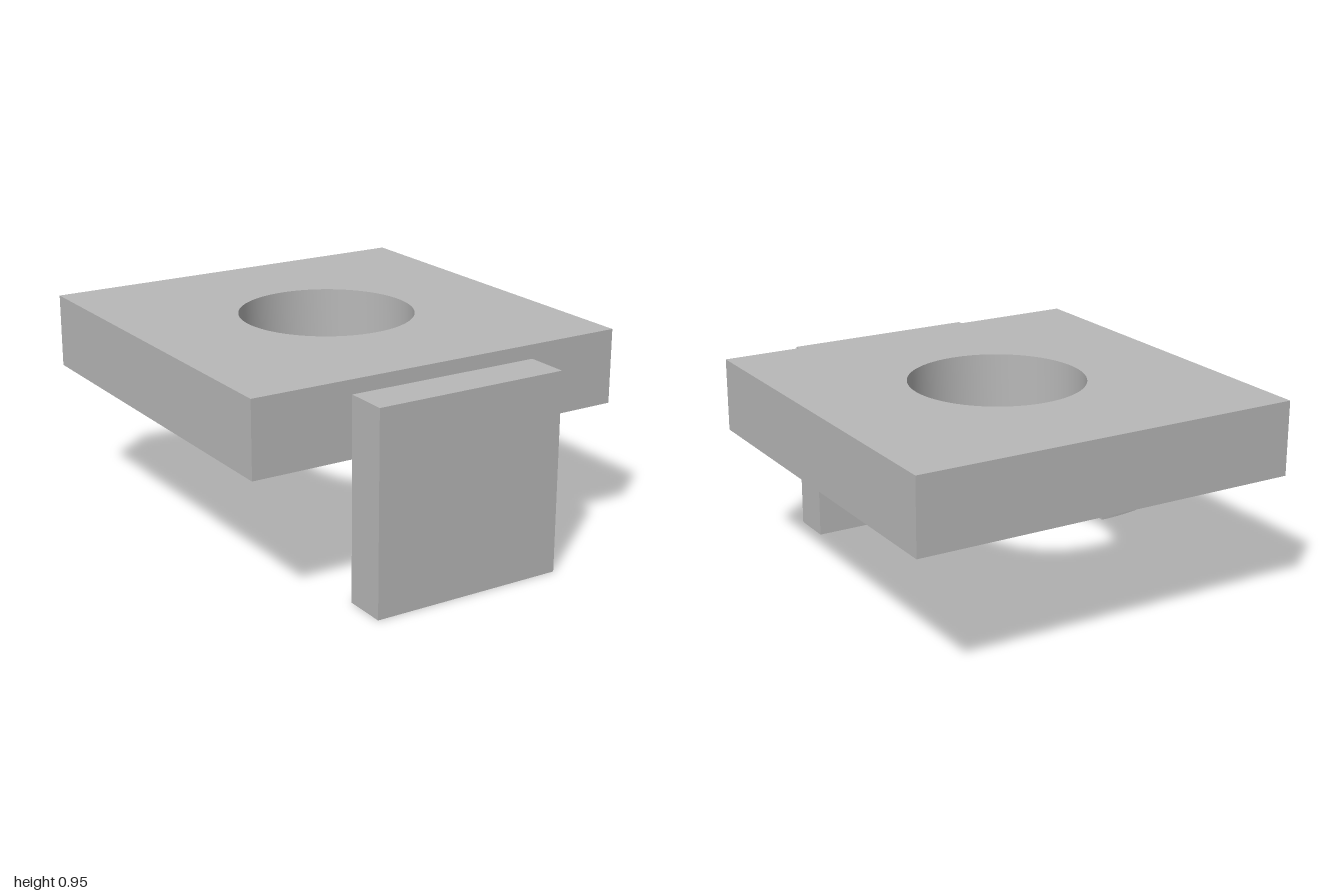
import * as THREE from 'three';
import { toCreasedNormals } from 'three/addons/utils/BufferGeometryUtils.js';

const CENTER_Z = -0.105; // shared centre of plate, hole and rib

// Extrudes a plan shape (x, z) downwards from the given top height
function slab(name, shape, top, thickness, material) {
  const geometry = new THREE.ExtrudeGeometry(shape, {
    depth: thickness, bevelEnabled: false, curveSegments: 48,
  });
  geometry.rotateX(Math.PI / 2);
  const mesh = new THREE.Mesh(toCreasedNormals(geometry, Math.PI / 6), material);
  mesh.name = name;
  mesh.position.set(0, top, CENTER_Z);
  return mesh;
}

export function createModel() {
  const group = new THREE.Group();
  group.name = 'bracket';
  const gray = new THREE.MeshStandardMaterial({ color: 0xb8b8b8 });
  gray.name = 'plain gray';

  // Square plate with a round through hole
  const h = 0.894;
  const square = new THREE.Shape([
    new THREE.Vector2(-h, -h), new THREE.Vector2(h, -h),
    new THREE.Vector2(h, h), new THREE.Vector2(-h, h),
  ]);
  const hole = new THREE.Path();
  hole.absarc(0, 0, 0.393, 0, Math.PI * 2, true);
  square.holes.push(hole);
  group.add(slab('plate', square, 0.953, 0.335, gray));

  // Half ring under the plate, on the right half
  const ring = new THREE.Shape();
  ring.absarc(0, 0, 0.822, Math.PI / 2, Math.PI * 1.5, false);
  ring.absarc(0, 0, 0.478, Math.PI * 1.5, Math.PI / 2, true);
  ring.closePath();
  group.add(slab('halfRing', ring, 0.618, 0.045, gray));

  // Upright panel standing just in front of the plate
  const panel = new THREE.Mesh(new THREE.BoxGeometry(0.894, 0.896, 0.196), gray);
  panel.name = 'frontPanel';
  panel.position.set(0, 0.448, 0.902);
  group.add(panel);

  return group;
}
